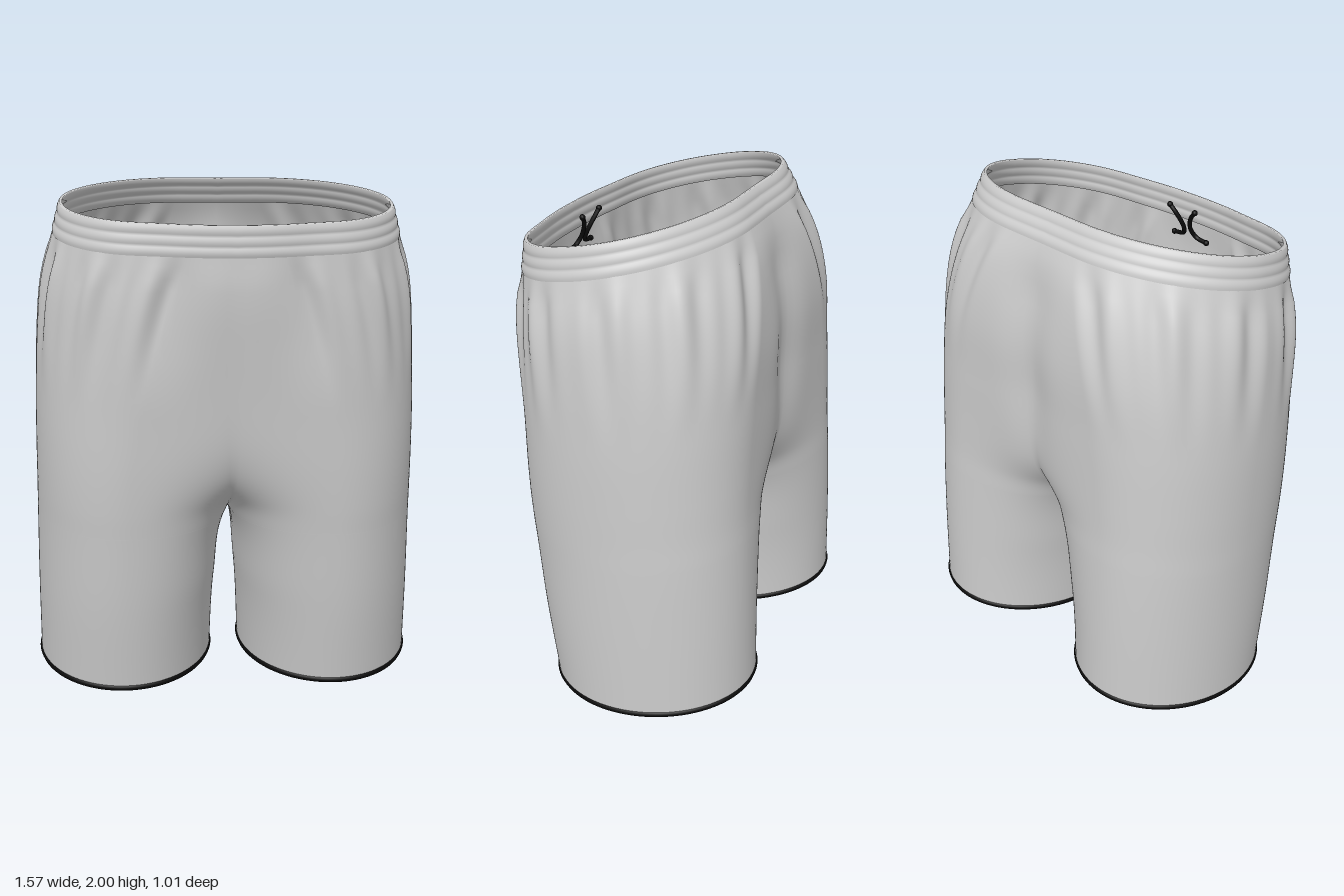
import * as THREE from 'three';
import { mergeVertices } from 'three/addons/utils/BufferGeometryUtils.js';

const { lerp, smoothstep } = THREE.MathUtils;

// Cross-sections of one half, bottom to top:
// height at z=0, tilt, centre x, outer x, inner x, middle z, front z, back z
const SECTIONS = [
  [0.05, -0.106, 0.42, 0.777, 0.062, -0.07, 0.348, -0.5],
  [0.40, -0.11, 0.42, 0.776, 0.045, -0.05, 0.395, -0.487],
  [0.70, -0.12, 0.41, 0.772, 0.0, -0.04, 0.425, -0.472],
  [0.80, -0.13, 0.405, 0.77, -0.07, -0.03, 0.435, -0.465],
  [0.95, -0.14, 0.39, 0.768, -0.35, -0.02, 0.447, -0.46],
  [1.20, -0.16, 0.35, 0.762, -1.00, 0.0, 0.462, -0.455],
  [1.45, -0.18, 0.29, 0.747, -1.50, 0.03, 0.482, -0.447],
  [1.65, -0.20, 0.23, 0.722, -1.50, 0.06, 0.498, -0.41],
  [1.83, -0.22, 0.17, 0.674, -1.30, 0.09, 0.503, -0.345],
  [1.94, -0.22, 0.15, 0.645, -1.20, 0.10, 0.5, -0.288],
];
const spline = new THREE.CubicInterpolant(
  SECTIONS.map((s) => s[0]), SECTIONS.flatMap((s) => s.slice(1)), 7);

// Soft gathers that fade out below the waistband
function gather(a, h) {
  const fade = smoothstep(h, 1.2, 1.7) * (1 - smoothstep(h, 1.72, 1.83));
  return fade * (0.008 * Math.sin(15 * a + 0.8) + 0.006 * Math.sin(26 * a + 2 * h));
}

// Point on the +x half; u runs from back (-1) past the side (0) to front (1).
// Where the inner side would cross x = 0 the arc stops there, forming the crotch.
function point(u, h, offset = 0, folds = false) {
  const [tilt, cx, outer, inner, zm, front, back] = Array.from(spline.evaluate(h));
  const limit = inner < -1e-6 ? Math.acos(-cx / (cx - inner)) : Math.PI;
  const a = u * limit;
  const off = offset + (folds ? gather(a, h) : 0);
  const c = Math.cos(a), s = Math.sin(a);
  // inner thighs are pressed flat, the front of the hips is slightly squared
  let power = 1;
  if (c < 0) power = lerp(1, 0.65, smoothstep(h, 0.05, 0.75));
  else if (s > 0) power = lerp(1, 0.88, smoothstep(h, 0.4, 1.1));
  const bulge = Math.abs(s) ** power;
  const open = limit < Math.PI;
  const x = open && Math.abs(u) === 1 ? 0 : cx + c * ((c > 0 ? outer - cx : cx - inner) + off);
  let z = zm + bulge * (s > 0 ? front - zm + off : back - zm - off);
  // cleft in the seat, and a front that peaks gently at the centre seam
  if (s < 0) {
    z += 0.032 * Math.exp(-((x / 0.1) ** 2)) * smoothstep(h, 0.8, 1.3) * (1 - smoothstep(h, 1.6, 1.82));
  } else {
    z -= 0.022 * Math.exp(-(((x - 0.28) / 0.15) ** 2)) * smoothstep(h, 1.2, 1.7);
  }
  return new THREE.Vector3(x, h + tilt * z, z);
}

// Skins both halves through rows of [height, offset] and welds the centre seam
function skin(rows, folds) {
  const cols = 160, pos = [], index = [];
  for (const side of [1, -1]) {
    const base = pos.length / 3;
    for (const [h, off] of rows) {
      for (let i = 0; i <= cols; i++) {
        const p = point((2 * i) / cols - 1, h, off, folds);
        pos.push(p.x * side, p.y, p.z);
      }
    }
    for (let j = 0; j < rows.length - 1; j++) {
      for (let i = 0; i < cols; i++) {
        const a = base + j * (cols + 1) + i, b = a + 1, c = a + cols + 1, d = c + 1;
        if (side > 0) index.push(a, c, b, b, c, d);
        else index.push(a, b, c, b, d, c);
      }
    }
  }
  let geo = new THREE.BufferGeometry();
  geo.setAttribute('position', new THREE.Float32BufferAttribute(pos, 3));
  geo.setIndex(index);
  geo = mergeVertices(geo, 1e-5);
  geo.computeVertexNormals();
  return geo;
}

export function createModel() {
  const group = new THREE.Group();
  const cloth = new THREE.MeshStandardMaterial({ color: 0xcccccc, side: THREE.DoubleSide });
  const black = new THREE.MeshStandardMaterial({ color: 0x0a0a0a });
  const add = (name, geo, mat) => {
    const mesh = new THREE.Mesh(geo, mat);
    mesh.name = name;
    group.add(mesh);
  };

  // Legs and seat in one cloth, rows closest together at the crotch
  const rows = [];
  for (let i = 0; i < 20; i++) rows.push([0.7 - 0.65 * (1 - i / 20) ** 2, 0]);
  for (let i = 0; i <= 44; i++) rows.push([0.7 + 1.14 * (i / 44) ** 2, 0]);
  add('shortsBody', skin(rows, true), cloth);

  // Elastic waistband: three shallow ribs outside, thin rim, ribs inside
  const band = [], n = 24;
  const rib = (t) => 0.004 * Math.abs(Math.sin(3 * Math.PI * t));
  for (let i = 0; i <= n; i++) band.push([1.825 + 0.115 * (i / n), 0.001 + rib(i / n)]);
  for (let i = n; i >= 0; i--) band.push([1.825 + 0.115 * (i / n), -0.01 - rib(i / n)]);
  add('waistband', skin(band, false), cloth);

  for (const side of [1, -1]) {
    const label = side > 0 ? 'left' : 'right';
    const flip = (p) => new THREE.Vector3(p.x * side, p.y, p.z);

    // Dark trim around the leg opening, tucked slightly inside
    const hem = [];
    for (let i = 0; i < 48; i++) hem.push(flip(point(i / 24 - 1, 0.052, -0.008)));
    add(label + 'HemTrim', new THREE.TubeGeometry(
      new THREE.CatmullRomCurve3(hem, true), 120, 0.014, 8, true), black);

    // Drawstring end inside the front
    const cord = [[0.085, 1.66, 0.468], [0.035, 1.67, 0.465], [0.018, 1.71, 0.445],
      [0.04, 1.77, 0.42], [0.065, 1.8, 0.412]].map((p) => flip(new THREE.Vector3(...p)));
    add(label + 'Drawstring', new THREE.TubeGeometry(
      new THREE.CatmullRomCurve3(cord), 32, 0.009, 8, false), black);
    for (const end of [cord[0], cord[4]]) {
      add(label + 'DrawstringTip',
        new THREE.SphereGeometry(0.012, 12, 8).translate(end.x, end.y, end.z), black);
    }
  }
  return group;
}
